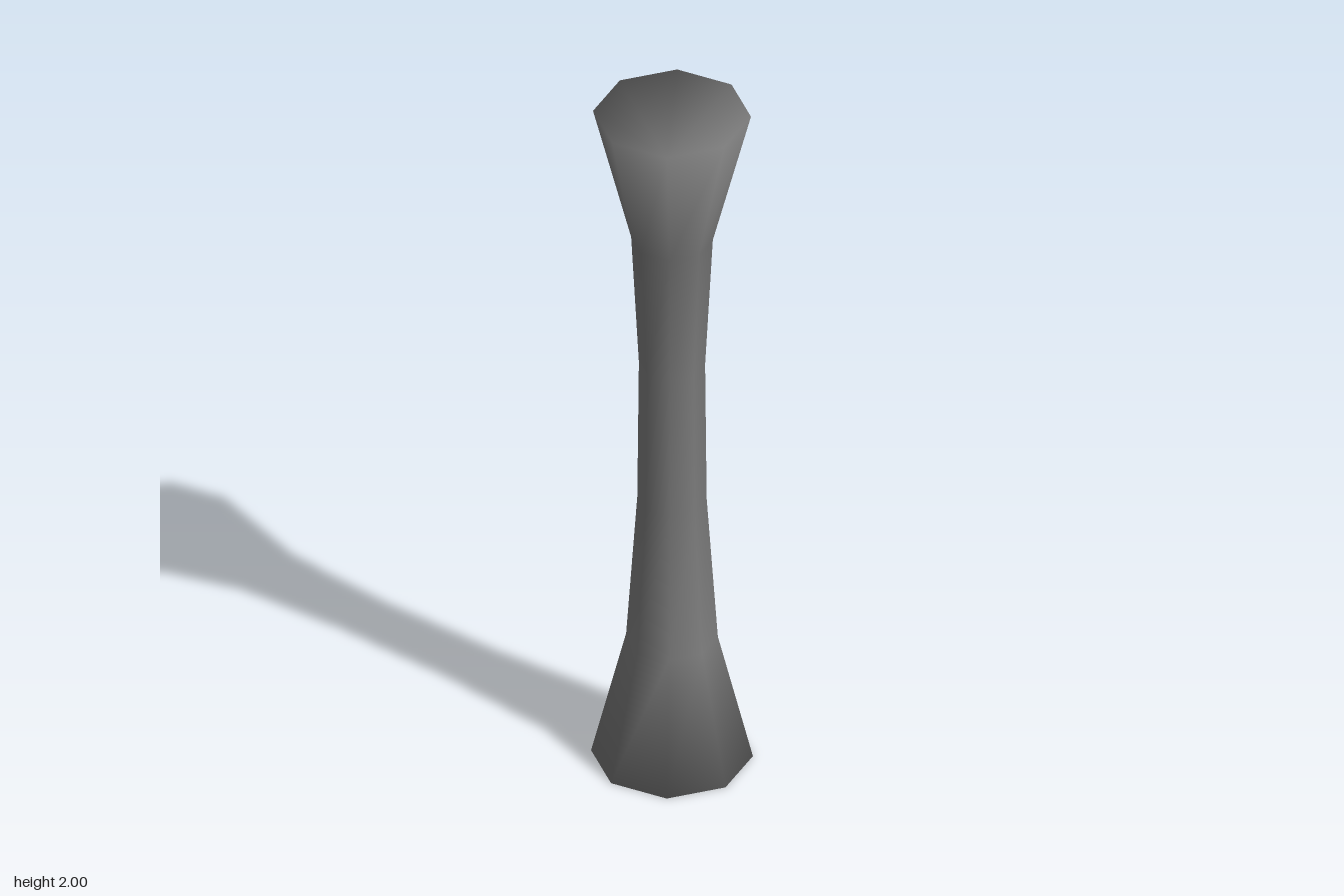
import * as THREE from 'three';

const SIDES = 8;
// [radius, height, upward tilt of the normal] of each octagonal ring, bottom to top
const RINGS = [
  [0.21, 0, -0.55], [0.119, 0.37, 0.16], [0.09, 0.8, 0.04],
  [0.086, 1.22, -0.02], [0.106, 1.61, -0.15], [0.205, 2, 0.55],
];

// Flared column whose end caps share the side vertices, with evenly rounded normals
function flaredColumn() {
  const positions = [];
  const normals = [];
  const index = [];
  for (const [r, y, tilt] of RINGS) {
    const length = Math.hypot(1, tilt);
    for (let i = 0; i < SIDES; i++) {
      const a = (i / SIDES) * Math.PI * 2;
      positions.push(r * Math.sin(a), y, r * Math.cos(a));
      normals.push(Math.sin(a) / length, tilt / length, Math.cos(a) / length);
    }
  }
  // side walls
  for (let k = 0; k < RINGS.length - 1; k++) {
    for (let i = 0; i < SIDES; i++) {
      const a = k * SIDES + i;
      const b = k * SIDES + ((i + 1) % SIDES);
      index.push(a, b, b + SIDES, a, b + SIDES, a + SIDES);
    }
  }
  // flat caps
  const top = (RINGS.length - 1) * SIDES;
  for (let i = 1; i < SIDES - 1; i++) {
    index.push(0, i + 1, i);
    index.push(top, top + i, top + i + 1);
  }
  const geometry = new THREE.BufferGeometry();
  geometry.setAttribute('position', new THREE.Float32BufferAttribute(positions, 3));
  geometry.setAttribute('normal', new THREE.Float32BufferAttribute(normals, 3));
  geometry.setIndex(index);
  return geometry;
}

export function createModel() {
  const group = new THREE.Group();
  const column = new THREE.Mesh(flaredColumn(), new THREE.MeshStandardMaterial({ color: 0x7a7a7a }));
  column.name = 'flaredColumn';
  group.add(column);
  return group;
}
